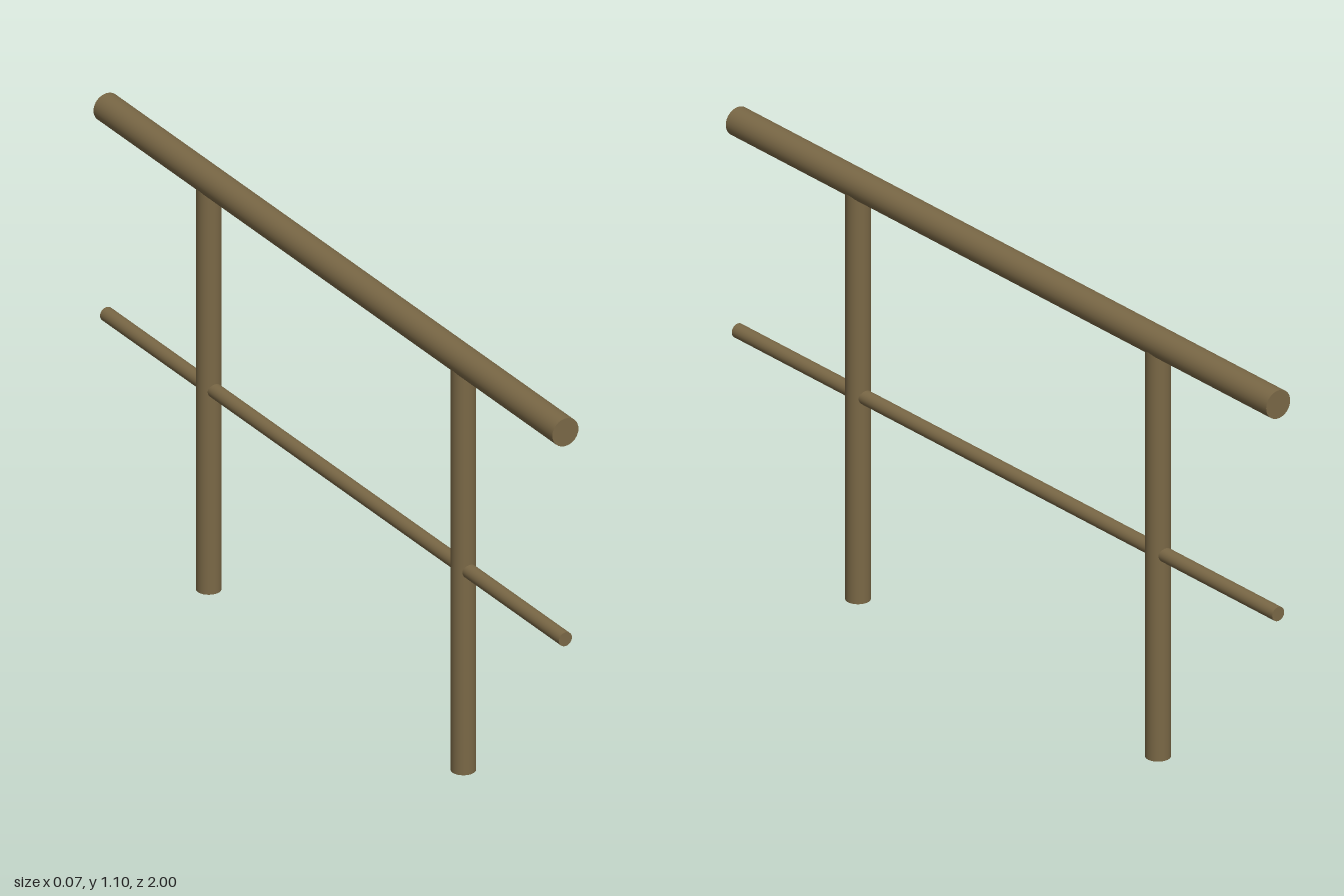
import * as THREE from 'three';

export function createModel() {
  const model = new THREE.Group();
  model.name = 'railing';

  const bronze = new THREE.MeshStandardMaterial({ color: 0x7a6846 });
  bronze.name = 'bronze brown';

  // Closed round bar, upright by default
  const bar = (name, radius, length) => {
    const mesh = new THREE.Mesh(new THREE.CylinderGeometry(radius, radius, length, 32), bronze);
    mesh.name = name;
    model.add(mesh);
    return mesh;
  };

  // Horizontal rails along z
  const rail = (name, radius, y) => {
    const mesh = bar(name, radius, 2);
    mesh.rotation.x = Math.PI / 2;
    mesh.position.y = y;
  };
  rail('handrail', 0.036, 1.067);
  rail('middleRail', 0.018, 0.528);

  // Posts, ending inside the handrail
  const postHeight = 1.05;
  for (const [name, z] of [['frontPost', 0.555], ['backPost', -0.555]]) {
    bar(name, 0.03, postHeight).position.set(0, postHeight / 2, z);
  }

  return model;
}
